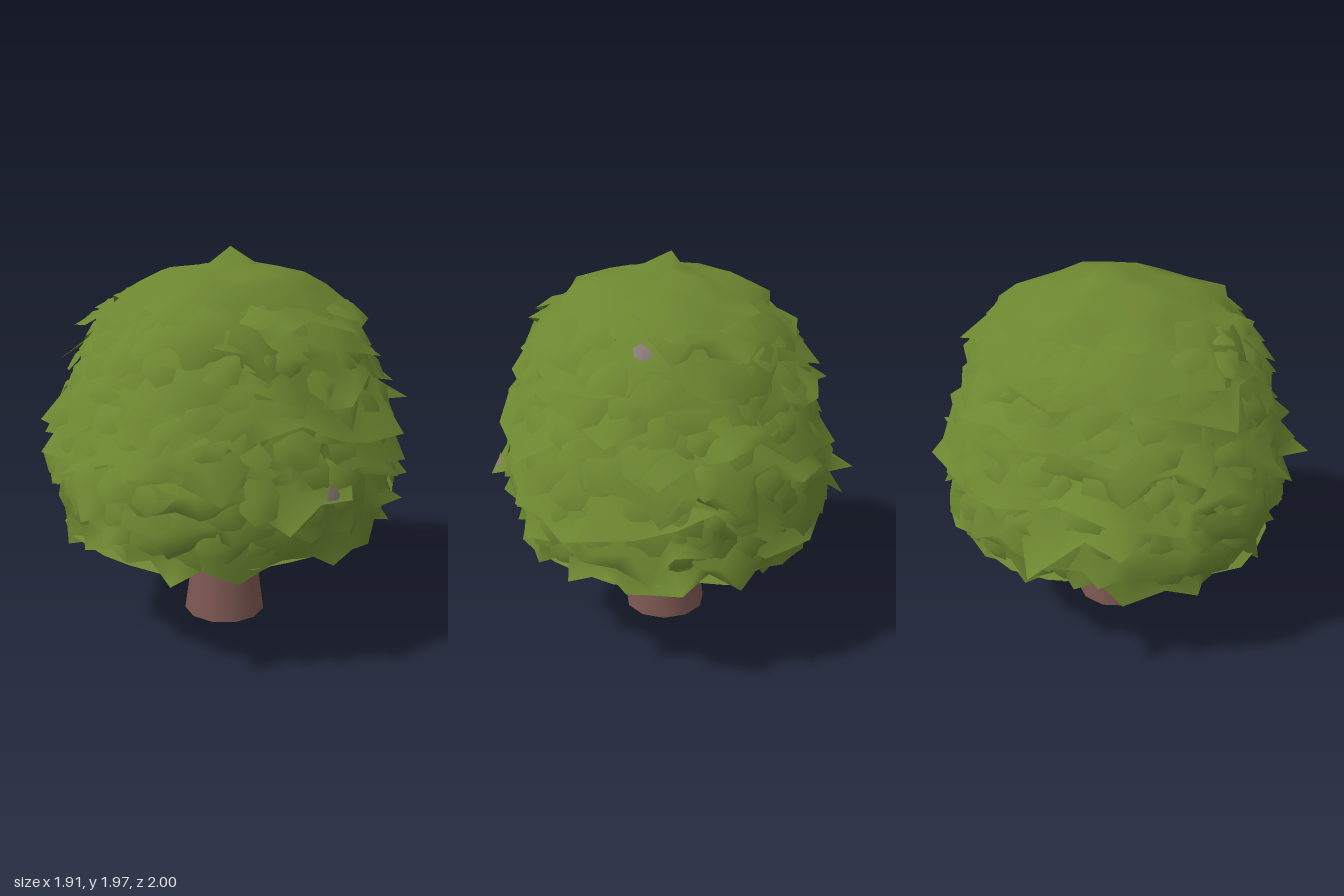
import * as THREE from 'three';
import { mergeGeometries, mergeVertices } from 'three/addons/utils/BufferGeometryUtils.js';

// Small seeded random, returns -1..1
let seed = 7;
const rnd = () => {
  seed = (seed * 16807) % 2147483647;
  return (seed / 2147483647) * 2 - 1;
};

// Crown outline: height, half width, half depth
const PROFILE = [
  [0.55, 0.72, 0.83], [0.75, 0.81, 0.88], [0.95, 0.83, 0.92], [1.15, 0.79, 0.86], [1.35, 0.73, 0.79],
  [1.55, 0.66, 0.71], [1.7, 0.56, 0.62], [1.8, 0.4, 0.48], [1.86, 0.15, 0.2], [1.88, 0.0, 0.0],
];
// Leaf tips that stick out furthest
const TIPS = [[-0.94, 0.79, -0.22], [0.12, 1.0, 1.0], [0.1, 1.0, -1.0], [0.93, 0.88, 0.15],
  [0.77, 1.6, -0.2], [-0.85, 1.05, 0.15], [0.6, 0.54, 0.75]];
const CX = 0.07, CZ = -0.01;

function radii(y) {
  y = Math.min(1.88, Math.max(0.55, y));
  const i = Math.max(1, PROFILE.findIndex((p) => p[0] >= y));
  const a = PROFILE[i - 1], b = PROFILE[i];
  const t = (y - a[0]) / (b[0] - a[0]);
  return [a[1] + (b[1] - a[1]) * t, a[2] + (b[2] - a[2]) * t];
}

// Point on the slightly squared oval of the crown
function around(angle, y, scale, push = 0) {
  const [rx, rz] = radii(y);
  const c = Math.cos(angle), s = Math.sin(angle);
  const k = scale / Math.pow(Math.abs(c) ** 2.4 + Math.abs(s) ** 2.4, 1 / 2.4);
  return [CX + c * (rx * k + push), y, CZ + s * (rz * k + push)];
}

// Closed ring of triangles, rows running from top to hem
function sheet(rows, cols, point) {
  const pos = [], index = [];
  for (let r = 0; r <= rows; r++) {
    for (let i = 0; i < cols; i++) {
      pos.push(...point(r / rows, ((i + (r % 2) * 0.5) / cols) * Math.PI * 2, i));
    }
  }
  for (let r = 0; r < rows; r++) {
    for (let i = 0; i < cols; i++) {
      const j = (i + 1) % cols;
      const a = r * cols + i, b = r * cols + j, c = a + cols, d = b + cols;
      if (r % 2) index.push(a, b, d, a, d, c);
      else index.push(a, b, c, b, d, c);
    }
  }
  const g = new THREE.BufferGeometry();
  g.setAttribute('position', new THREE.Float32BufferAttribute(pos, 3));
  g.setIndex(index);
  return g;
}

// Crumpled leaf clump lying on the crown, its lower edge lifted outwards
function clump(angle, y, size, push) {
  const g = new THREE.CircleGeometry(size, 7);
  g.deleteAttribute('uv');
  g.deleteAttribute('normal');
  const leaf = mergeVertices(g);
  const p = leaf.attributes.position;
  for (let i = 0; i < p.count; i++) {
    const x = p.getX(i), h = p.getY(i), rim = x * x + h * h > 1e-6;
    const k = 1 + rnd() * 0.25;
    p.setXYZ(i, x * k, h * k, rim ? -0.2 * size - h * 0.35 + rnd() * 0.2 * size : 0.15 * size);
  }
  const slope = (radii(y - 0.08)[0] - radii(y + 0.08)[0]) / 0.16;
  const out = new THREE.Vector3(Math.cos(angle), slope, Math.sin(angle));
  const m = new THREE.Matrix4().lookAt(out, new THREE.Vector3(), new THREE.Vector3(0, 1, 0));
  leaf.applyMatrix4(m.setPosition(...around(angle, y, 0.96, push)));
  leaf.computeVertexNormals();
  return leaf;
}

// Draw the nearest vertex of all sheets out to each tip
function pullTips(sheets) {
  const v = new THREE.Vector3();
  for (const tip of TIPS) {
    const target = new THREE.Vector3(...tip);
    let best = Infinity, hit = null;
    for (const g of sheets) {
      const p = g.attributes.position;
      for (let i = 0; i < p.count; i++) {
        const d = v.fromBufferAttribute(p, i).distanceTo(target);
        if (d < best) { best = d; hit = [p, i]; }
      }
    }
    hit[0].setXYZ(hit[1], ...tip);
  }
}

export function createModel() {
  const leafGreen = new THREE.MeshStandardMaterial({ color: 0x6c8630, side: THREE.DoubleSide });
  const barkBrown = new THREE.MeshStandardMaterial({ color: 0x7c5751 });
  const cutWood = new THREE.MeshStandardMaterial({ color: 0x8a7a78 });
  leafGreen.name = 'leafGreen';
  barkBrown.name = 'barkBrown';
  cutWood.name = 'cutWood';

  const model = new THREE.Group();
  model.name = 'tree';
  const add = (parent, name, geometry, material) => {
    if (!geometry.attributes.normal) geometry.computeVertexNormals();
    const mesh = new THREE.Mesh(geometry, material);
    mesh.name = name;
    parent.add(mesh);
    return mesh;
  };
  const lathe = (points) => new THREE.LatheGeometry(points.map((p) => new THREE.Vector2(...p)), 11);

  // Tapered trunk with a rounded cut base
  const bark = lathe([[0.218, 0.015], [0.198, 0.16], [0.148, 0.56], [0.12, 0.85]]);
  add(model, 'trunk', bark, barkBrown).position.set(0.065, 0, -0.015);
  const cut = lathe([[0, 0.012], [0.15, 0], [0.218, 0.015]]);
  add(model, 'trunkBase', cut, cutWood).position.set(0.065, 0, -0.015);

  const crown = new THREE.Group();
  crown.name = 'crown';
  model.add(crown);

  // Inner mass that closes the gaps between the tiers
  add(crown, 'innerFoliage', sheet(9, 30, (t, a) => around(a, 1.84 - t * 1.22, 0.88, rnd() * 0.02)), leafGreen);

  // Overlapping skirts of crumpled leaves with wavy hems
  const tiers = [0.56, 0.7, 0.85, 1.0, 1.16, 1.32, 1.48, 1.6].map((hem, k) => {
    const cols = 38 - k * 2;
    const wave = k ? 0.05 : 0.015;
    return sheet(3, cols, (t, a, i) => {
      const jag = t === 1 ? (i % 2 ? 0.03 : -0.03) : 0;
      const ripple = wave * Math.sin(a * 6 + k * 2.3) * t;
      const y = hem + (1 - t) * 0.28 + rnd() * 0.035 * t + ripple - jag * 0.5;
      return around(a + k * 1.7 + rnd() * 0.05, y, 0.88 + 0.12 * t, rnd() * (0.035 + 0.025 * t) + jag);
    });
  });
  pullTips(tiers);
  tiers.forEach((g, k) => add(crown, `leafTier${k + 1}`, g, leafGreen));

  // Rumpled cap rising to a small peak
  const cap = mergeVertices(sheet(5, 16, (t, a, i) => {
    if (t === 0) return [0.04, 1.97, -0.07];
    const n = rnd() * 0.05 * t;
    const hem = t === 1 ? (i % 2) * 0.05 : 0;
    return [CX + 0.02 + Math.cos(a) * (0.55 * t + n), 1.89 - 0.16 * t ** 2.5 + rnd() * 0.035 * t - hem,
      CZ - 0.03 + Math.sin(a) * (0.6 * t + n)];
  }));
  add(crown, 'leafCap', cap, leafGreen);

  // Leaf clumps scattered over the whole crown
  const clumps = [];
  for (let i = 0; i < 210; i++) {
    const y = 0.64 + 1.1 * (i / 210) + rnd() * 0.03;
    clumps.push(clump(i * 2.39996 + rnd() * 0.1, y, 0.105 + rnd() * 0.025, rnd() * 0.02));
  }
  add(crown, 'leafClumps', mergeGeometries(clumps), leafGreen);

  // Bare twig ends showing between the leaves: angle, height
  const twigs = [[-1.16, 1.64], [0.08, 0.9], [-2.9, 0.74]].map(([a, y]) => clump(a, y, 0.045, 0.07));
  add(crown, 'twigEnds', mergeGeometries(twigs), cutWood);

  // Rumpled hollow underside, rising to the trunk
  add(crown, 'underside', sheet(5, 26, (t, a) => {
    const p = around(a, 0.56, 0.99 - 0.86 * t, rnd() * 0.02);
    p[1] = 0.56 + 0.09 * Math.sqrt(t) + rnd() * 0.025 * (1 - t);
    return p;
  }), leafGreen);

  return model;
}
